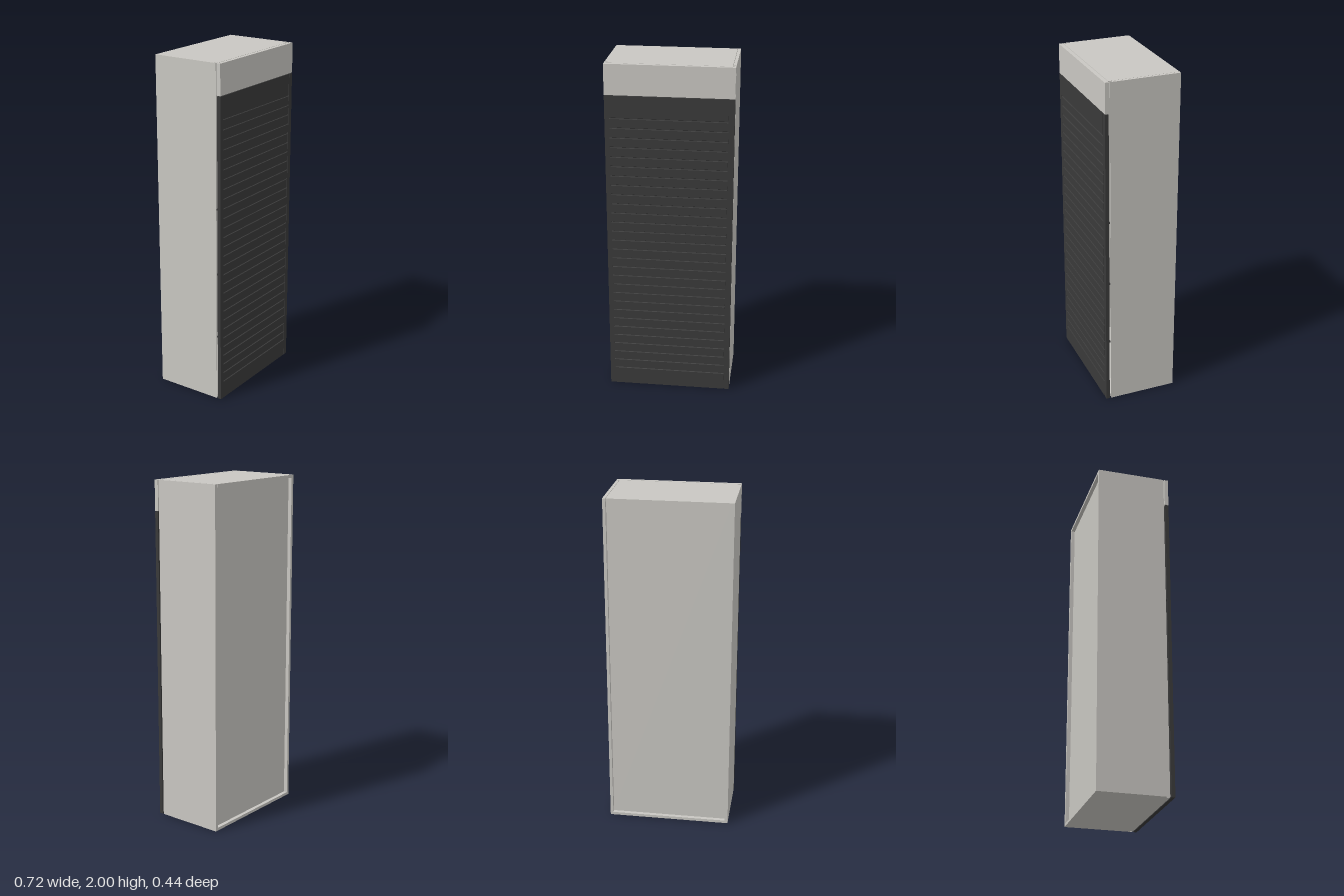
import * as THREE from 'three';

export function createModel() {
  const model = new THREE.Group();
  const stone = new THREE.MeshStandardMaterial({ color: 0xc9c7c2 });
  stone.name = 'warm grey laminate';
  const dark = new THREE.MeshStandardMaterial({ color: 0x3a3a3a });
  dark.name = 'charcoal shutter';

  const add = (name, geometry, material) => {
    const mesh = new THREE.Mesh(geometry, material);
    mesh.name = name;
    model.add(mesh);
    return mesh;
  };
  // box given by its limits on each axis
  const box = (name, [x0, x1], [y0, y1], [z0, z1], material) => {
    const mesh = add(name, new THREE.BoxGeometry(x1 - x0, y1 - y0, z1 - z0), material);
    mesh.position.set((x0 + x1) / 2, (y0 + y1) / 2, (z0 + z1) / 2);
    return mesh;
  };

  const W = 0.362, T = 0.017, H = 2;
  const back = -0.219, front = 0.19, inner = W - T;

  // Carcass: side panels with a slim lip in front of a notch
  for (const [name, s] of [['leftSide', 1], ['rightSide', -1]]) {
    const span = (a, b) => (s > 0 ? [a, b] : [-b, -a]);
    box(name + 'Panel', span(inner, W), [0, H], [back, 0.171], stone);
    box(name + 'Lip', span(W - 0.003, W), [0, H], [0.171, 0.187], stone);
    box(name + 'LipReturn', span(W - 0.009, W - 0.003), [0, H], [0.182, 0.185], stone);
  }
  box('topPanel', [-inner, inner - 0.002], [H - T, H], [back, front], stone);
  box('bottomPanel', [-inner, inner], [0, T], [back, front], stone);
  // recessed back
  box('backPanel', [-inner, inner], [T, H - T], [back + 0.022, back + 0.03], stone);

  // Fascia above the shutter
  box('fascia', [-W, W], [1.825, H], [0.193, 0.216], stone);

  // Shutter: grooved field cut along x
  const doorTop = 1.822, face = 0.216, rear = 0.195;
  const profile = new THREE.Shape();
  profile.moveTo(-rear, 0);
  profile.lineTo(-face, 0);
  for (let i = 0; i < 29; i++) {
    const y = 0.108 + i * 0.0566;
    profile.lineTo(-face, y - 0.004);
    profile.lineTo(-face + 0.006, y - 0.002);
    profile.lineTo(-face + 0.006, y + 0.001);
    profile.lineTo(-face, y + 0.004);
  }
  profile.lineTo(-face, doorTop);
  profile.lineTo(-rear, doorTop);
  const x0 = -0.335, x1 = 0.328;
  const field = add('shutterSlats', new THREE.ExtrudeGeometry(profile, { depth: x1 - x0, bevelEnabled: false }), dark);
  field.rotation.y = Math.PI / 2;
  field.position.x = x0;

  // Stiles either side, with a grip channel beside the left one
  box('rightStile', [-W, x0], [0, doorTop], [rear, face], dark);
  box('gripChannel', [x1, 0.332], [0, doorTop], [rear, face - 0.008], dark);
  box('leftStile', [0.332, W], [0, doorTop], [rear, face], dark);

  // Small buffers between shutter and carcass
  for (const x of [-0.352, 0.352])
    for (const y of [0.4, 0.79, 1.18])
      box('buffer', [x - 0.006, x + 0.006], [y - 0.004, y + 0.004], [0.187, rear], dark);

  return model;
}
